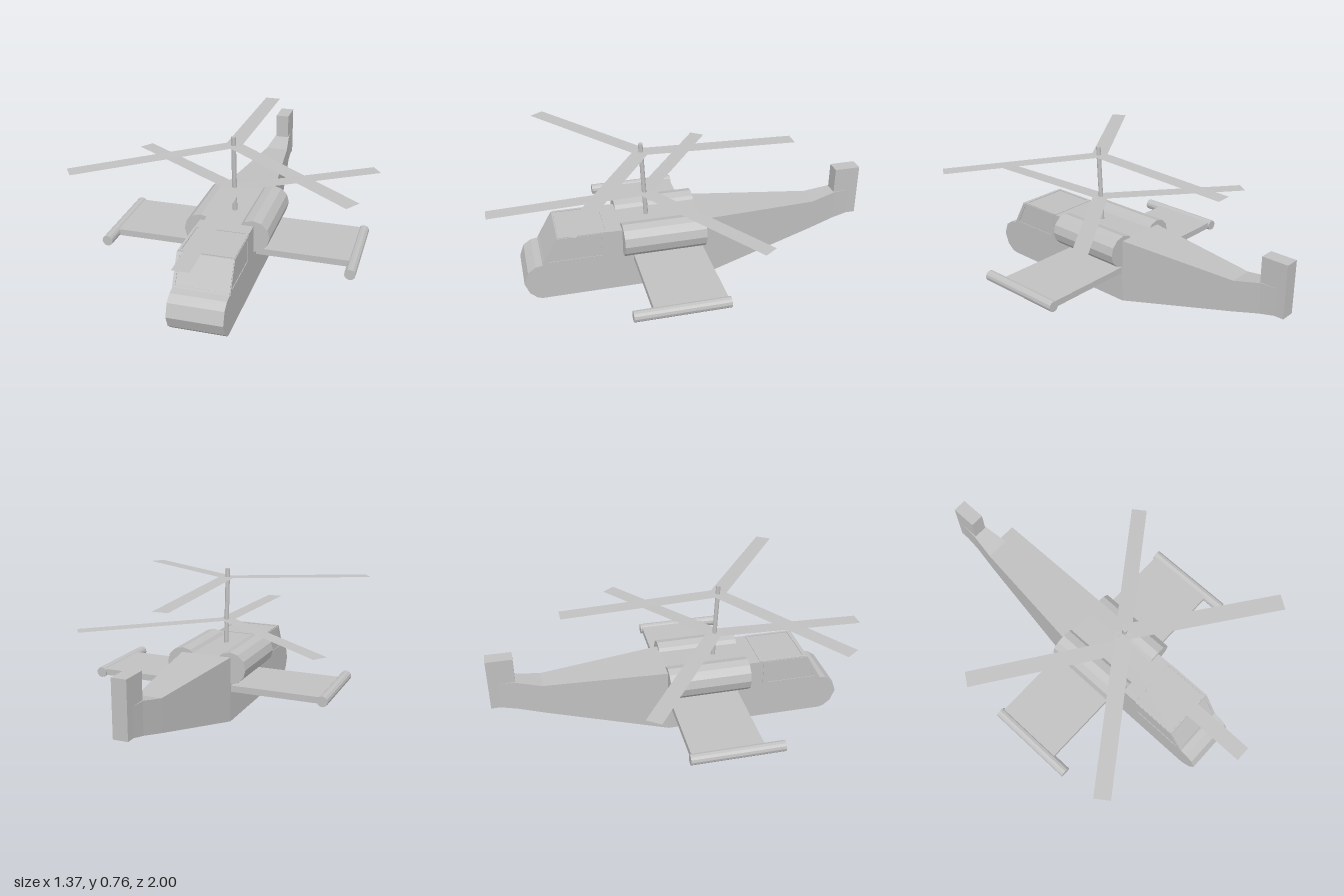
import * as THREE from 'three';

export function createModel() {
  const model = new THREE.Group();
  const grey = new THREE.MeshStandardMaterial({ color: 0xc0c0c0, flatShading: true });
  grey.name = 'hull grey';
  const blade = new THREE.MeshStandardMaterial({ color: 0xc0c0c0, flatShading: true, side: THREE.DoubleSide });
  blade.name = 'blade grey';

  const add = (name, geometry, x = 0, y = 0, z = 0, material = grey) => {
    const mesh = new THREE.Mesh(geometry, material);
    mesh.name = name;
    mesh.position.set(x, y, z);
    model.add(mesh);
    return mesh;
  };
  const shapeOf = (pts) => new THREE.Shape(pts.map(([a, b]) => new THREE.Vector2(a, b)));
  // Outline in (z, y), extruded across x and centred on x = 0
  const sideExtrude = (shape, width) =>
    new THREE.ExtrudeGeometry(shape, { depth: width, bevelEnabled: false })
      .translate(0, 0, -width / 2).rotateY(-Math.PI / 2);
  // Flat outline with an opening, used for window surrounds
  const frame = (outer, inner) => {
    const shape = shapeOf(outer);
    shape.holes.push(new THREE.Path(inner.map(([a, b]) => new THREE.Vector2(a, b))));
    return shape;
  };

  // Fuselage with sloping windscreen and faceted nose
  add('fuselage', sideExtrude(shapeOf([
    [-0.09, 0], [0.765, 0], [0.79, 0.008], [0.827, 0.04], [0.85, 0.1], [0.827, 0.165],
    [0.787, 0.193], [0.747, 0.2], [0.665, 0.345], [-0.09, 0.35],
  ]), 0.276));

  // Tapered tail boom: [z, half width, bottom, top]
  const stations = [[-0.09, 0.138, 0, 0.35], [-0.73, 0.062, 0.155, 0.322],
    [-0.87, 0.042, 0.19, 0.352], [-0.97, 0.036, 0.212, 0.352]];
  const verts = [], index = [];
  stations.forEach(([z, w, lo, hi], i) => {
    verts.push(w, lo, z, w, hi, z, -w, hi, z, -w, lo, z);
    if (i === 0) return;
    for (let k = 0; k < 4; k++) {
      const a = (i - 1) * 4 + k, b = (i - 1) * 4 + (k + 1) % 4;
      index.push(a, a + 4, b, b, a + 4, b + 4);
    }
  });
  const boom = new THREE.BufferGeometry();
  boom.setAttribute('position', new THREE.Float32BufferAttribute(verts, 3));
  boom.setIndex(index);
  const boomFlat = boom.toNonIndexed();
  boomFlat.computeVertexNormals();
  add('tailBoom', boomFlat);
  add('tailFin', new THREE.BoxGeometry(0.074, 0.278, 0.137), 0, 0.347, -0.931);

  // Cockpit window surrounds on both sides
  const sideFrame = frame(
    [[0.425, 0.2], [0.745, 0.2], [0.665, 0.345], [0.425, 0.347]],
    [[0.445, 0.215], [0.445, 0.328], [0.655, 0.328], [0.718, 0.215]]);
  for (const side of [-1, 1]) {
    add('sideWindowFrame', sideExtrude(sideFrame, 0.004), side * 0.139);
  }
  // Windscreen surround, laid on the slope
  const slope = Math.hypot(0.082, 0.145);
  const screen = add('windscreenFrame', new THREE.ExtrudeGeometry(frame(
    [[-0.138, 0], [0.138, 0], [0.138, slope], [-0.138, slope]],
    [[-0.125, 0.012], [-0.125, slope - 0.012], [0.125, slope - 0.012], [0.125, 0.012]]),
  { depth: 0.004, bevelEnabled: false }), 0, 0.2, 0.747);
  screen.rotation.x = -Math.atan2(0.082, 0.145);
  // Roof hatch surround
  add('roofFrame', new THREE.ExtrudeGeometry(frame(
    [[-0.138, -0.66], [0.138, -0.66], [0.138, -0.405], [-0.138, -0.405]],
    [[-0.125, -0.645], [-0.125, -0.42], [0.125, -0.42], [0.125, -0.645]]),
  { depth: 0.004, bevelEnabled: false }).rotateX(-Math.PI / 2), 0, 0.346, 0);

  // Engines, stub wings and wingtip pods, mirrored
  for (const side of [-1, 1]) {
    add('engine', new THREE.CylinderGeometry(0.086, 0.086, 0.428, 12).rotateX(Math.PI / 2),
      side * 0.134, 0.29, 0.121);
    add('wing', new THREE.BoxGeometry(0.5, 0.034, 0.367), side * 0.37, 0.18, 0.097);
    add('wingtipPod', new THREE.CylinderGeometry(0.028, 0.028, 0.477, 12).rotateX(Math.PI / 2),
      side * 0.63, 0.178, 0.143);
  }

  // Mast, leaning slightly forward
  const mast = add('rotorMast', new THREE.CylinderGeometry(0.012, 0.012, 0.43, 10), 0, 0.54, 0.193);
  mast.rotation.x = 0.05;

  // Two three-bladed rotors, each blade drooping towards its tip
  const bladeShape = new THREE.PlaneGeometry(0.082, 0.808).rotateX(-Math.PI / 2).translate(0, 0, 0.404);
  const droop = Math.atan2(0.025, 0.808);
  const rotor = (name, y, z, angles) => {
    const group = new THREE.Group();
    group.name = name;
    group.position.set(0, y, z);
    for (const angle of angles) {
      const mesh = new THREE.Mesh(bladeShape, blade);
      mesh.name = 'rotorBlade';
      mesh.rotation.set(droop, angle, 0, 'YXZ');
      group.add(mesh);
    }
    model.add(group);
  };
  const diagonal = Math.atan2(0.66, 0.465);
  rotor('upperRotor', 0.71, 0.198, [Math.PI, diagonal, -diagonal]);
  rotor('lowerRotor', 0.478, 0.192, [0, Math.PI - diagonal, Math.PI + diagonal]);

  return model;
}
